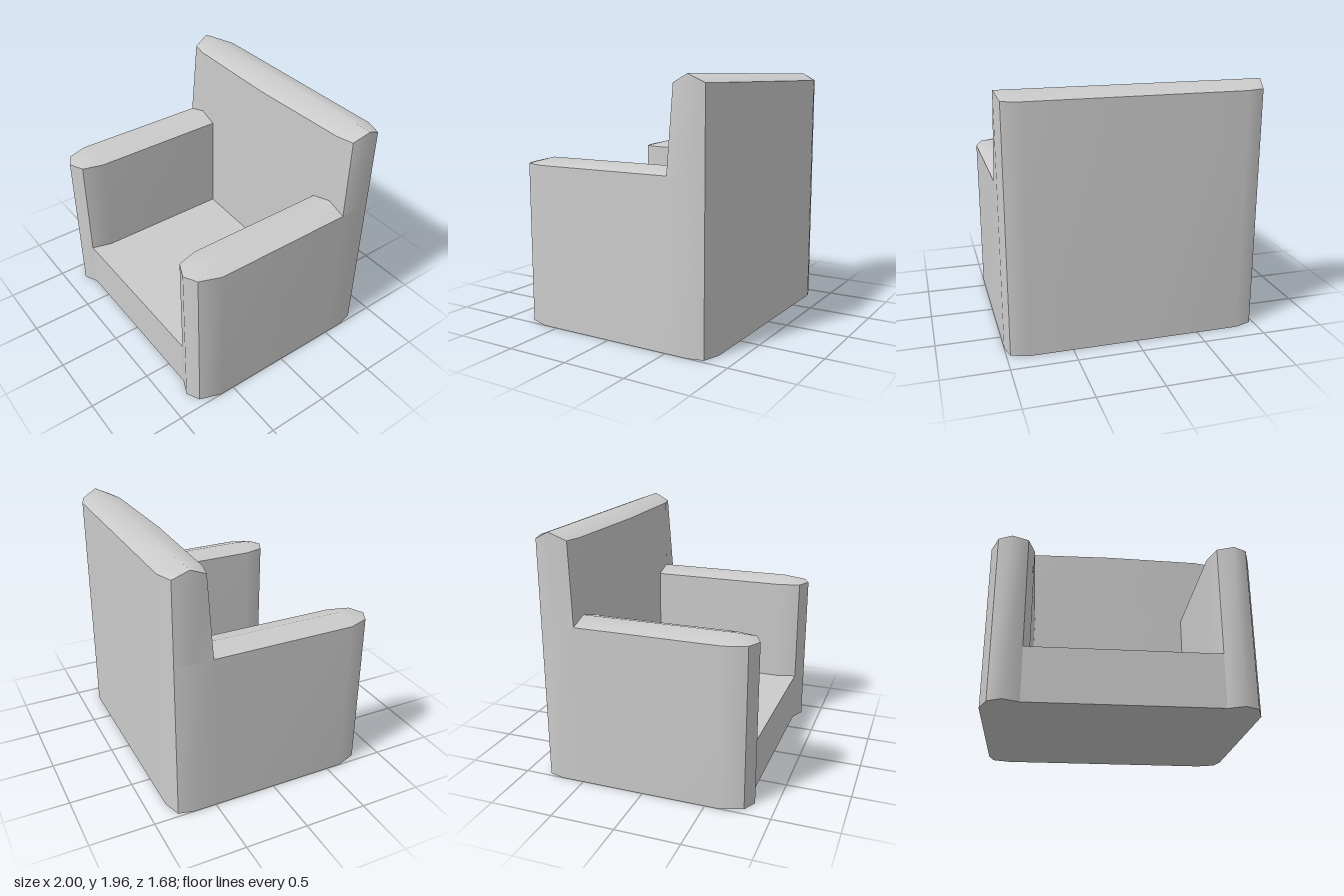
import * as THREE from 'three';
import { mergeVertices } from 'three/addons/utils/BufferGeometryUtils.js';

const material = new THREE.MeshStandardMaterial({ color: 0xcccccc });

// Smooth patch through rows of points: rows run upwards, points left to right, seen from outside.
function patch(rows) {
  const n = rows[0].length;
  const index = [];
  for (let i = 0; i < rows.length - 1; i++) {
    for (let j = 0; j < n - 1; j++) {
      const a = i * n + j, d = a + n;
      index.push(a, a + 1, d + 1, a, d + 1, d);
    }
  }
  let g = new THREE.BufferGeometry();
  g.setAttribute('position', new THREE.Float32BufferAttribute(rows.flat(2), 3));
  g.setIndex(index);
  g = mergeVertices(g);
  g.computeVertexNormals();
  return g;
}

// Points of a plan outline [x, z] at height y
const level = (plan, y) => plan.map(([x, z]) => [x, y, z]);
const wall = (plan, y0, y1) => [level(plan, y0), level(plan, y1)];
const mirror = (rows) => rows.map((r) => r.map(([x, y, z]) => [-x, y, z]).reverse());

export function createModel() {
  const group = new THREE.Group();
  const add = (name, geometry) => {
    const mesh = new THREE.Mesh(geometry, material);
    mesh.name = name;
    group.add(mesh);
  };
  const addPair = (name, rows) => {
    add('left' + name, patch(rows));
    add('right' + name, patch(mirror(rows)));
  };

  const seatY = 0.41, armY = 1.27, ridgeY = 1.32, backY = 1.9, topY = 1.96;

  // Arms: outer side, pointed nose and inner side
  const outer = [[0.94, 0.785], [1, 0.62], [1, -0.515], [1, -0.68], [0.97, -0.8]];
  addPair('ArmOuterSide', wall(outer, 0, armY));
  addPair('ArmNose', wall([[0.715, 0.785], [0.835, 0.84], [0.94, 0.785]], 0, armY));
  addPair('ArmInnerSide', wall([[0.67, -0.53], [0.67, 0.62], [0.715, 0.785]], seatY, armY));

  // Arm tops: a low ridge that slopes down to the nose
  const peak = [0.835, ridgeY, 0.62];
  addPair('ArmTop', [
    level([[0.835, 0.84], [0.94, 0.785], [1, 0.62], [1, -0.53]], armY),
    [peak, peak, peak, [0.835, ridgeY, -0.53]],
    level([[0.835, 0.84], [0.715, 0.785], [0.67, 0.62], [0.67, -0.53]], armY),
  ]);

  // Seat and front panel
  add('seat', patch([
    level([[-0.715, 0.785], [0.715, 0.785]], seatY),
    level([[-0.67, 0.62], [0.67, 0.62]], seatY),
    level([[-0.67, -0.53], [0.67, -0.53]], seatY),
  ]));
  add('frontPanel', patch(wall([[-0.715, 0.785], [0.715, 0.785]], 0, seatY)));

  // Backrest: slightly bowed front, rounded rear, tapered sides and ridged top
  const bowLow = [[-1, -0.515], [-0.835, -0.518], [0, -0.495], [0.835, -0.518], [1, -0.515]];
  const bowTop = [[-0.97, -0.55], [-0.835, -0.518], [0, -0.495], [0.835, -0.518], [0.97, -0.55]];
  const rear = [[0.97, -0.8], [0.835, -0.845], [0, -0.845], [-0.835, -0.845], [-0.97, -0.8]];
  add('backrestFront', patch([level(bowLow, seatY), level(bowLow, armY), level(bowTop, backY)]));
  add('backrestRear', patch(wall(rear, 0, backY)));
  addPair('BackrestSide', [
    level([[1, -0.515], [1, -0.68], [0.97, -0.8]], armY),
    [[0.97, backY, -0.55], [1, topY, -0.68], [0.97, backY, -0.8]],
  ]);
  add('backrestTop', patch([
    level(bowTop, backY),
    level([-1, -0.835, 0, 0.835, 1].map((x) => [x, -0.68]), topY),
    level([...rear].reverse(), backY),
  ]));

  // Underside
  const half = [[0.715, 0.785], [0.835, 0.84], ...outer, [0.835, -0.845]];
  const outline = [...half, ...half.map(([x, z]) => [-x, z]).reverse()];
  const shape = new THREE.Shape(outline.map(([x, z]) => new THREE.Vector2(x, z)));
  add('underside', new THREE.ShapeGeometry(shape).rotateX(Math.PI / 2));

  return group;
}
